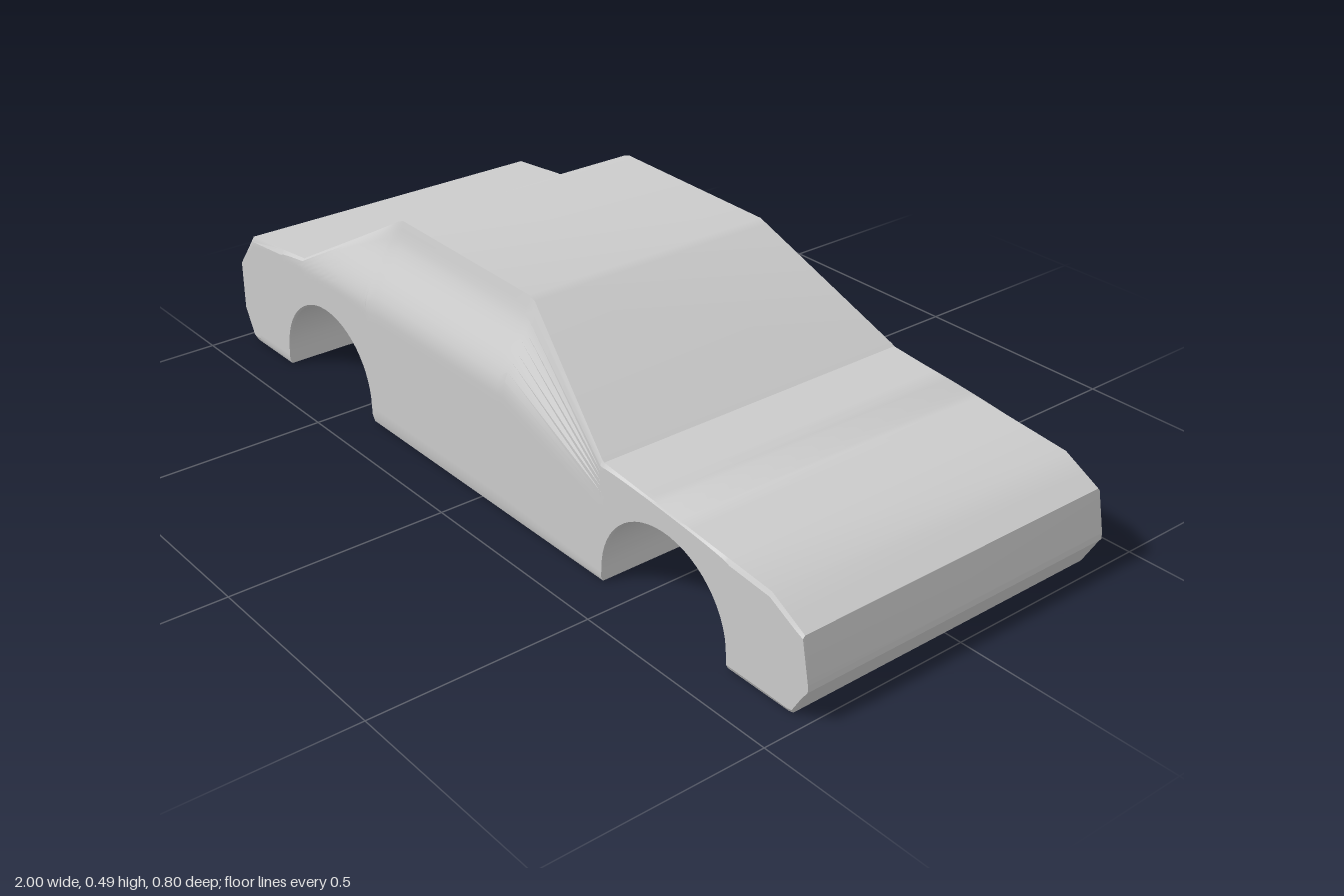
import * as THREE from 'three';
import { toCreasedNormals } from 'three/addons/utils/BufferGeometryUtils.js';

const ROWS = 24; // height steps on each flank

// Wheel arch as an arc from its rear foot to its front foot
function arch(cx, cy, r, n = 28) {
  const pts = [[cx - r - 0.001, 0]];
  for (let i = 0; i <= n; i++) {
    const a = Math.PI * (1 - i / n);
    pts.push([cx + r * Math.cos(a), cy + r * Math.sin(a)]);
  }
  pts.push([cx + r + 0.001, 0]);
  return pts;
}

// Height of a polyline at x
function heightAt(line, x) {
  for (let i = 1; i < line.length; i++) {
    const [x0, y0] = line[i - 1], [x1, y1] = line[i];
    if (x <= x1) return y0 + (y1 - y0) * (x - x0) / (x1 - x0);
  }
  return line[line.length - 1][1];
}

// Half width: straight flanks, then an S-curve in towards the roof
const halfWidth = (y) => 0.4 - 0.08 * THREE.MathUtils.smoothstep(y, 0.285, 0.47);

function bodyGeometry() {
  const roofLine = [[-1, 0.2], [-0.935, 0.284], [-0.7, 0.308], [-0.405, 0.478], [-0.385, 0.485],
    [0.075, 0.477], [0.095, 0.47], [0.42, 0.272], [0.895, 0.226], [0.982, 0.18], [1, 0.085]];
  const sillLine = [[-1, 0.07], [-0.967, 0.003], [-0.955, 0], ...arch(-0.61, 0.024, 0.184),
    ...arch(0.6, 0.02, 0.185), [0.95, 0], [0.962, 0.003], [1, 0.07]];
  const xs = [...new Set([...roofLine, ...sillLine].map((p) => p[0]))].sort((a, b) => a - b);

  // One closed cross-section for each station along the length
  const rings = xs.map((x) => {
    const low = heightAt(sillLine, x), high = heightAt(roofLine, x);
    const left = [];
    for (let j = 0; j <= ROWS; j++) {
      const y = low + (high - low) * j / ROWS;
      left.push([x, y, halfWidth(y)]);
    }
    // small bevel along the sill and roof edges
    left[0][2] -= 0.005;
    left[ROWS][2] -= 0.005;
    const right = left.map(([px, py, pz]) => [px, py, -pz]).reverse();
    return [...left, ...right];
  });

  const pos = [];
  const quad = (a, b, c, d) => pos.push(...a, ...b, ...c, ...a, ...c, ...d);
  const n = rings[0].length;
  for (let i = 0; i < rings.length - 1; i++) {
    for (let j = 0; j < n; j++) {
      const k = (j + 1) % n;
      quad(rings[i][j], rings[i + 1][j], rings[i + 1][k], rings[i][k]);
    }
  }
  // End faces
  const rear = rings[0], front = rings[rings.length - 1];
  for (let j = 0; j < ROWS; j++) {
    const o = n - 1 - j;
    quad(rear[j], rear[j + 1], rear[o - 1], rear[o]);
    quad(front[o], front[o - 1], front[j + 1], front[j]);
  }
  const geo = new THREE.BufferGeometry();
  geo.setAttribute('position', new THREE.Float32BufferAttribute(pos, 3));
  return toCreasedNormals(geo, 0.42);
}

export function createModel() {
  const group = new THREE.Group();
  group.name = 'car';
  const body = new THREE.Mesh(bodyGeometry(), new THREE.MeshStandardMaterial({ color: 0xcccccc }));
  body.name = 'carBody';
  group.add(body);
  return group;
}
